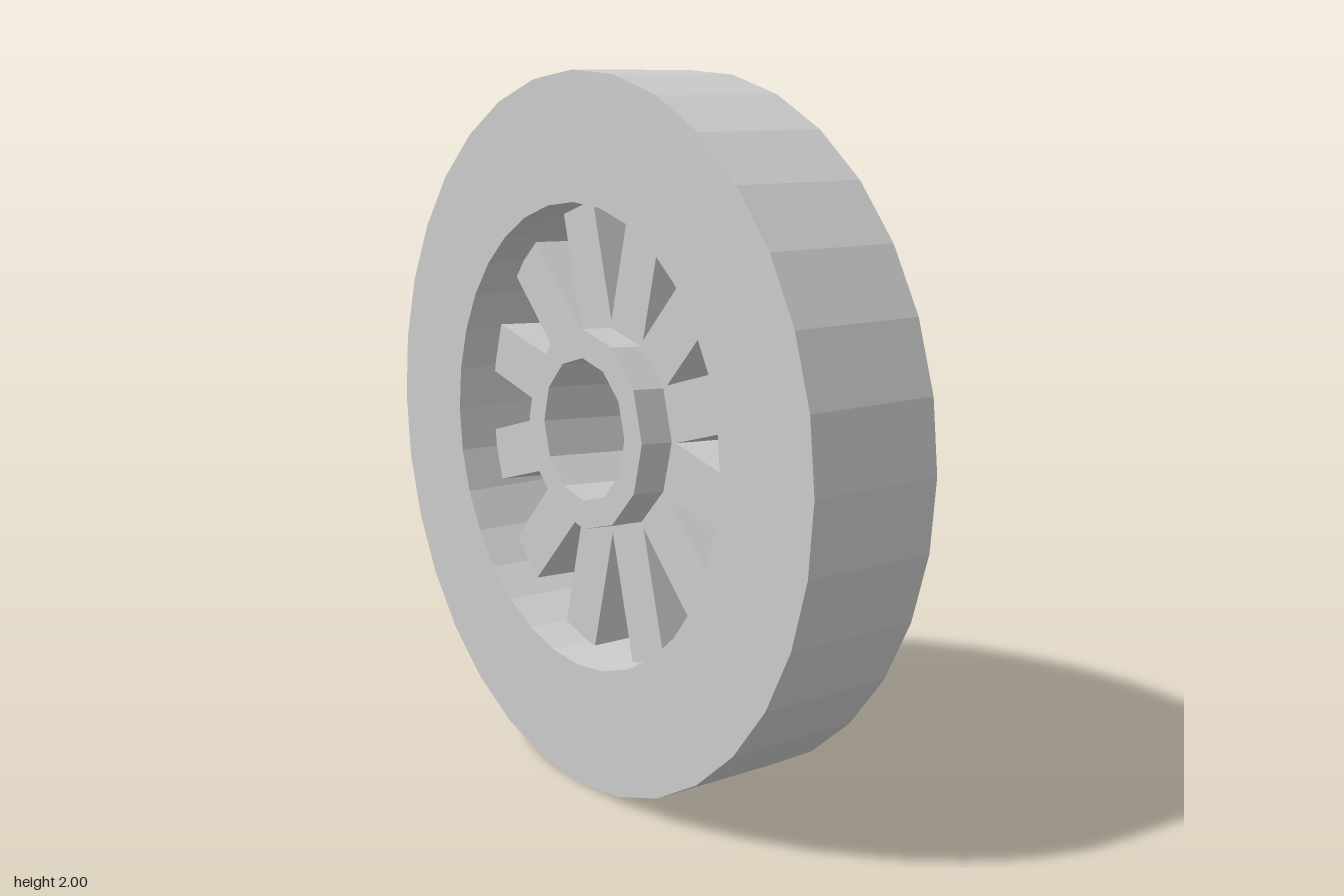
import * as THREE from 'three';

const material = new THREE.MeshStandardMaterial({ color: 0xcccccc, flatShading: true });

// Slight lean of a part: y rises along the axle by the given slope.
const lean = (slope) => new THREE.Matrix4().set(
  1, -0.005, 0, 0,
  slope, 1, 0, 0,
  0, 0, 1, 0,
  0, 0, 0, 1
);
const rimLean = lean(0.022);
const hubLean = lean(-0.035);

// Counter-clockwise regular polygon with a corner at the top
function polygon(radius, sides) {
  return Array.from({ length: sides }, (_, i) => {
    const a = (i / sides) * Math.PI * 2;
    return new THREE.Vector2(-radius * Math.sin(a), radius * Math.cos(a));
  });
}

// Faceted ring with a through hole, centred on the axle
function ring(outer, inner, sides, width) {
  const shape = new THREE.Shape(polygon(outer, sides));
  shape.holes.push(new THREE.Path(polygon(inner, sides)));
  return new THREE.ExtrudeGeometry(shape, { depth: width, bevelEnabled: false })
    .translate(0, 0, -width / 2)
    .rotateY(Math.PI / 2);
}

function add(parent, name, geometry, matrix) {
  const mesh = new THREE.Mesh(geometry.applyMatrix4(matrix), material);
  mesh.name = name;
  parent.add(mesh);
}

export function createModel() {
  const wheel = new THREE.Group();
  wheel.name = 'wheel';
  add(wheel, 'rim', ring(0.995, 0.646, 32, 0.39), rimLean);

  // Hub and spokes sit a touch above the rim's centre.
  const centre = new THREE.Group();
  centre.name = 'hubAndSpokes';
  centre.position.set(-0.004, 0.012, 0.003);
  add(centre, 'hub', ring(0.28, 0.2, 12, 0.335), hubLean);

  // Twelve straight spokes, running slightly into the hub and rim
  const start = 0.255, end = 0.665;
  for (let i = 0; i < 12; i++) {
    const spoke = new THREE.BoxGeometry(0.14, end - start, 0.155)
      .translate(0, (start + end) / 2, 0)
      .rotateX(((i + 0.5) / 12) * Math.PI * 2);
    add(centre, 'spoke', spoke, hubLean);
  }
  wheel.add(centre);

  wheel.position.y = 1;
  const model = new THREE.Group();
  model.add(wheel);
  return model;
}
